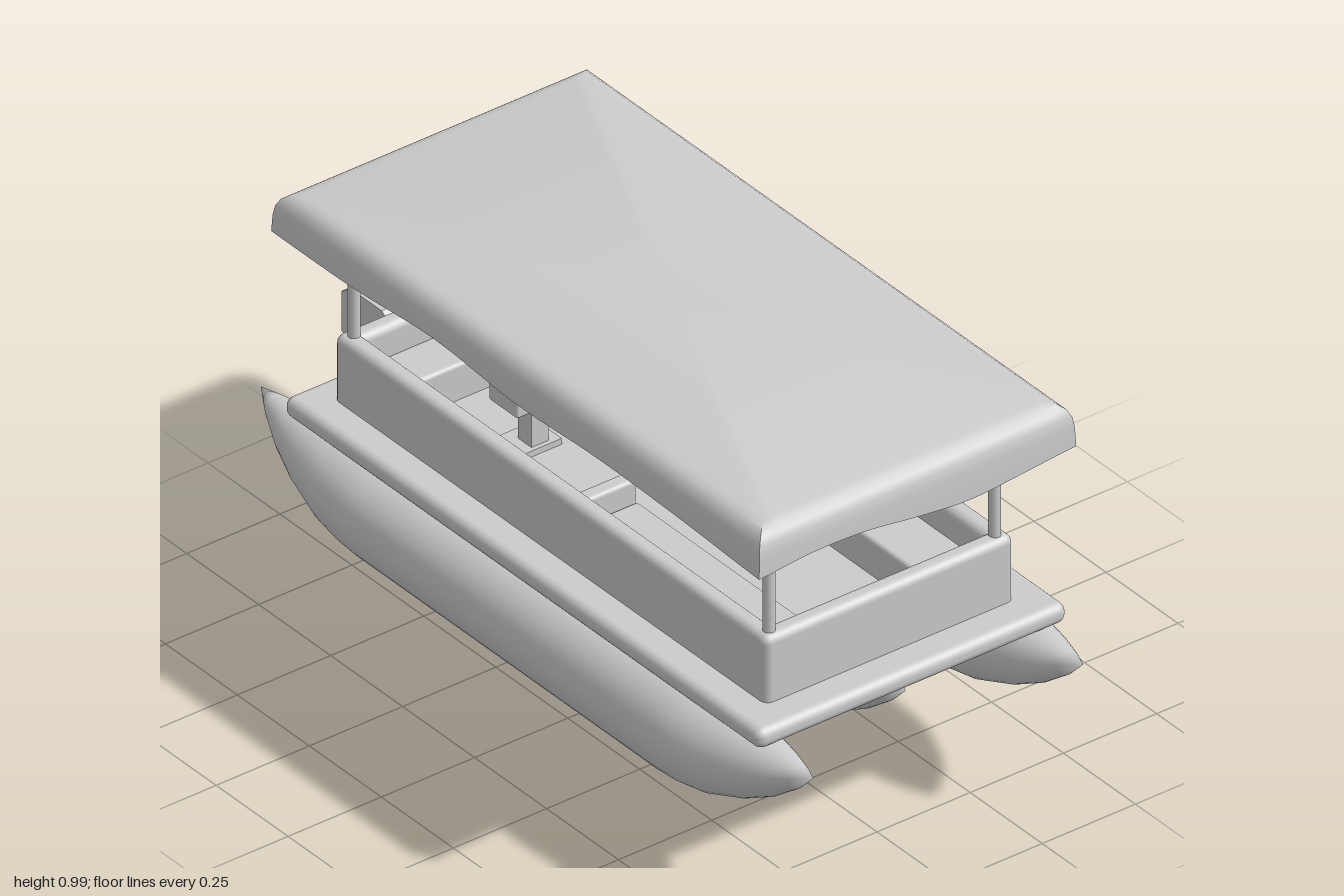
import * as THREE from 'three';
import { mergeVertices, toCreasedNormals } from 'three/addons/utils/BufferGeometryUtils.js';
import { RoundedBoxGeometry } from 'three/addons/geometries/RoundedBoxGeometry.js';

const grey = new THREE.MeshStandardMaterial({ color: 0xcccccc });
const greyOpen = new THREE.MeshStandardMaterial({ color: 0xcccccc, side: THREE.DoubleSide });

export function createModel() {
  const model = new THREE.Group();

  const add = (name, geometry, x = 0, y = 0, z = 0, material = grey) => {
    const mesh = new THREE.Mesh(geometry, material);
    mesh.name = name;
    mesh.position.set(x, y, z);
    model.add(mesh);
    return mesh;
  };

  // Box given by its limits, with optional rounded edges
  const box = (name, [x0, x1], [y0, y1], [z0, z1], r = 0) => {
    const size = [x1 - x0, y1 - y0, z1 - z0];
    const g = r ? new RoundedBoxGeometry(...size, 3, r) : new THREE.BoxGeometry(...size);
    return add(name, g, (x0 + x1) / 2, (y0 + y1) / 2, (z0 + z1) / 2);
  };

  const rod = (name, r, x, y0, y1, z) =>
    add(name, new THREE.CylinderGeometry(r, r, y1 - y0, 16), x, (y0 + y1) / 2, z);

  // Side outline of [z, y] points, extruded across x
  const sideProfile = (name, points, x0, x1) => {
    const shape = new THREE.Shape(points.map(([z, y]) => new THREE.Vector2(z, y)));
    const g = new THREE.ExtrudeGeometry(shape, { depth: x1 - x0, bevelEnabled: false });
    g.rotateY(-Math.PI / 2);
    return add(name, g, x1, 0, 0);
  };

  // Pontoons: lathed floats whose pointed ends sweep upwards
  const R = 0.112;
  const taper = [[0, 0], [0.05, 0.028], [0.12, 0.057], [0.2, 0.081], [0.3, 0.102], [0.38, 0.11], [0.44, R]];
  const pontoon = (name, x, back, front) => {
    const profile = [
      ...taper.map(([d, r]) => new THREE.Vector2(r, back + d)),
      ...taper.slice().reverse().map(([d, r]) => new THREE.Vector2(r, front - d)),
    ];
    let g = new THREE.LatheGeometry(profile, 32);
    g.rotateX(Math.PI / 2);
    const p = g.attributes.position;
    for (let i = 0; i < p.count; i++) {
      const r = Math.hypot(p.getX(i), p.getY(i));
      p.setY(i, p.getY(i) + 0.093 * (1 - r / R));
    }
    g.deleteAttribute('uv');
    g.deleteAttribute('normal');
    g = mergeVertices(g, 1e-5);
    g.computeVertexNormals();
    add(name, g, x, 0.317, 0);
  };
  pontoon('rightPontoon', -0.363, -0.92, 1);
  pontoon('middlePontoon', 0, -0.77, 0.85);
  pontoon('leftPontoon', 0.36, -0.92, 1);

  // Deck
  box('deck', [-0.405, 0.425], [0.42, 0.47], [-0.79, 0.865], 0.022);

  // Cabin walls, with a boarding gap on the left side near the stern
  const wallY = [0.45, 0.635];
  box('frontWall', [-0.325, 0.343], wallY, [0.735, 0.785], 0.02);
  box('sternWall', [-0.325, 0.343], wallY, [-0.717, -0.667], 0.02);
  box('rightWall', [-0.325, -0.275], wallY, [-0.717, 0.785], 0.02);
  box('leftWall', [0.293, 0.343], wallY, [-0.283, 0.785], 0.02);
  box('leftSternCorner', [0.283, 0.343], wallY, [-0.717, -0.6], 0.02);

  // Benches
  box('rightBench', [-0.28, -0.14], [0.46, 0.56], [0.1, 0.74], 0.01);
  box('leftBench', [0.16, 0.3], [0.46, 0.56], [0.25, 0.74], 0.01);
  box('rightBenchEnd', [-0.28, -0.14], [0.46, 0.615], [0.06, 0.1], 0.01);
  box('leftBenchEnd', [0.16, 0.3], [0.46, 0.615], [0.21, 0.25], 0.01);
  box('sternBench', [-0.28, 0.12], [0.46, 0.56], [-0.67, -0.55], 0.01);

  // Helm console with its raked screen
  box('console', [0.05, 0.295], [0.46, 0.635], [-0.1, 0.03]);
  sideProfile('consoleScreen',
    [[-0.02, 0.633], [-0.065, 0.685], [-0.08, 0.692], [-0.152, 0.692], [-0.1, 0.633]], 0.05, 0.255);

  // Pedestal chairs
  for (const [side, x] of [['left', 0.157], ['right', -0.1]]) {
    box(side + 'ChairFoot', [x - 0.05, x + 0.05], [0.465, 0.485], [-0.37, -0.28]);
    box(side + 'ChairPost', [x - 0.023, x + 0.023], [0.48, 0.59], [-0.337, -0.291]);
    box(side + 'ChairSeat', [x - 0.07, x + 0.07], [0.58, 0.63], [-0.38, -0.28], 0.006);
    box(side + 'ChairBack', [x - 0.069, x + 0.069], [0.585, 0.725], [-0.38, -0.35], 0.006);
  }

  // Roof posts
  for (const x of [-0.295, 0.31])
    for (const z of [0.757, -0.685]) rod('roofPost', 0.014, x, 0.62, 0.965, z);

  // Canopy: rectangular rings running over the rounded rim, round the wavy hem and up inside
  const hems = [
    [0.877, 0.889, 0.886, 0.867, 0.854, 0.864, 0.876], // front
    [0.876, 0.889, 0.894, 0.881, 0.902, 0.883, 0.884], // left
    [0.884, 0.892, 0.886, 0.878, 0.89, 0.895, 0.884],  // back
    [0.884, 0.886, 0.903, 0.885, 0.894, 0.889, 0.877], // right
  ].map((h) => new THREE.SplineCurve(h.map((y, i) => new THREE.Vector2(i / 6, y))));
  const corners = [[-0.42, 0.885], [0.43, 0.885], [0.43, -0.81], [-0.42, -0.81]];
  // Each ring: inset from the rim, height (null follows the hem)
  const rings = [[0.05, 0.985], [0.03, 0.98], [0.015, 0.968], [0.006, 0.95], [0.002, 0.925],
    [0, null], [0.014, null], [0.018, 0.93], [0.05, 0.968]];
  const steps = 24, count = steps * 4, positions = [], index = [];
  rings.forEach(([inset, y], k) => {
    for (let i = 0; i < count; i++) {
      const side = Math.floor(i / steps), t = (i % steps) / steps;
      const a = corners[side], b = corners[(side + 1) % 4];
      const shrink = (v) => v - Math.sign(v) * inset;
      const [ax, az, bx, bz] = [a[0], a[1], b[0], b[1]].map(shrink);
      positions.push(ax + (bx - ax) * t, y ?? hems[side].getPoint(t).y, az + (bz - az) * t);
      if (k === rings.length - 1) continue;
      const p = k * count + i, q = k * count + (i + 1) % count;
      index.push(p, p + count, q, q, p + count, q + count);
    }
  });
  const top = positions.length / 3, last = (rings.length - 1) * count;
  positions.push(0, 0.985, 0.035, 0, 0.968, 0.035);
  for (let i = 0; i < count; i++) {
    const j = (i + 1) % count;
    index.push(top, i, j, top + 1, last + j, last + i);
  }
  const canopy = new THREE.BufferGeometry();
  canopy.setAttribute('position', new THREE.Float32BufferAttribute(positions, 3));
  canopy.setIndex(index);
  add('canopy', toCreasedNormals(canopy, 0.7), 0, 0, 0, greyOpen);

  // Outboard motor, its bracket and shaft
  sideProfile('motorHousing', [[-0.8, 0.47], [-0.83, 0.5], [-0.86, 0.522], [-0.965, 0.522], [-1, 0.5],
    [-1, 0.4], [-0.975, 0.385], [-0.83, 0.385], [-0.8, 0.405]], -0.085, 0.105);
  sideProfile('motorBracket', [[-0.7, 0.6], [-0.715, 0.595], [-0.82, 0.46], [-0.8, 0.44], [-0.7, 0.55]], -0.035, 0.055);
  rod('motorShaft', 0.015, 0.01, 0, 0.4, -0.9);

  return model;
}
